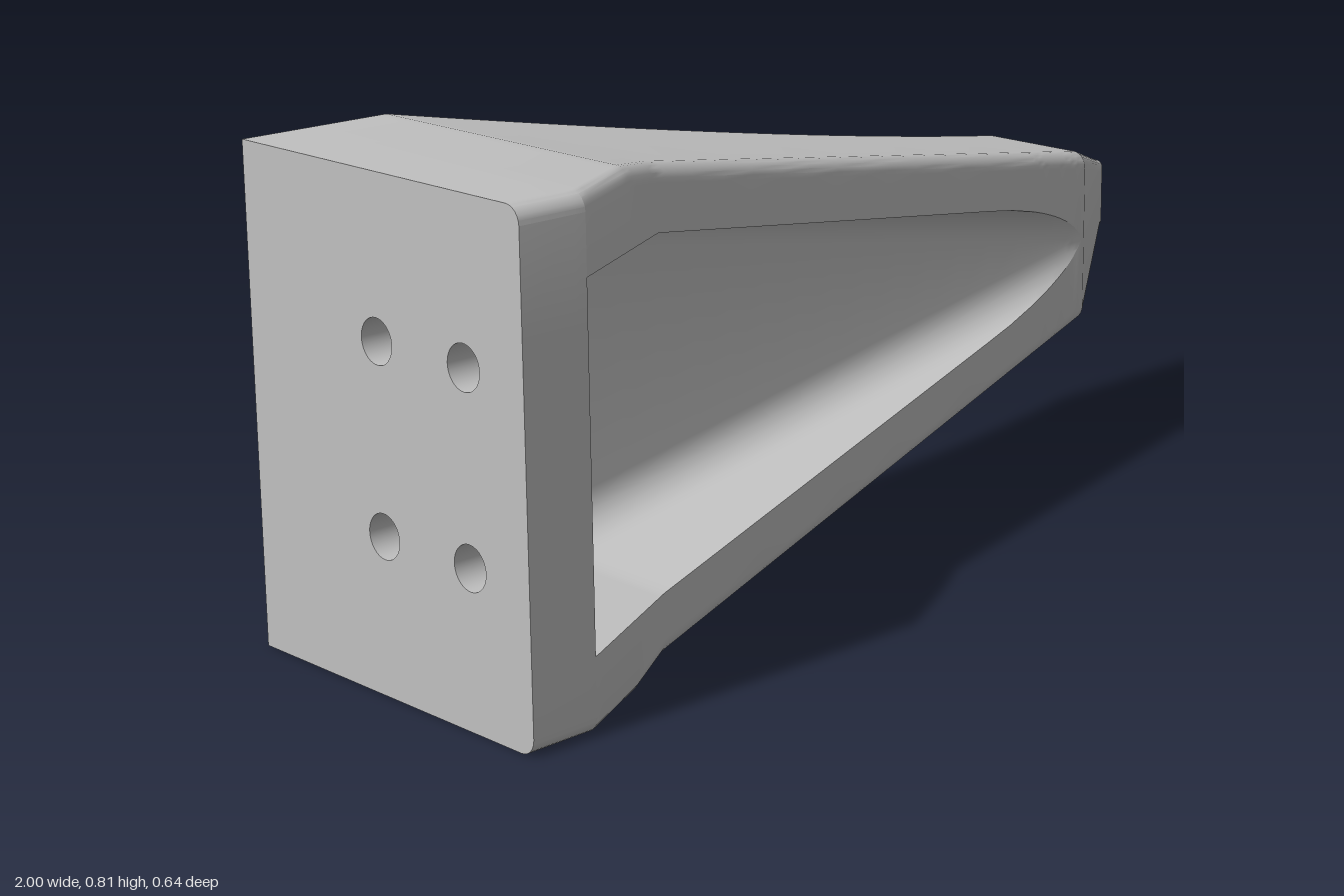
import * as THREE from 'three';
import { toCreasedNormals } from 'three/addons/utils/BufferGeometryUtils.js';

const MID = 0.405;        // height of the symmetry plane
const FLOOR = -0.087;     // z of the pocket floor
const FILLET = 0.065;     // pocket floor fillet
const WALL = -0.88;       // inner side of the mounting wall
const HOLES = [[0.19, 0.15], [0.19, -0.15], [-0.01, 0.15], [-0.01, -0.15]]; // z, y from middle

// Piecewise linear lookup through [x, value] pairs
function lerpTable(table, x) {
  for (let i = 1; i < table.length; i++) {
    const [x0, v0] = table[i - 1], [x1, v1] = table[i];
    if (x <= x1) return v0 + (v1 - v0) * (x - x0) / (x1 - x0);
  }
  return table[table.length - 1][1];
}

const halfHeight = x => lerpTable([[-1, 0.405], [-0.73, 0.405], [0.69, 0.16], [1, 0.065]], x);
const frontZ = x => lerpTable([[-1, 0.322], [-0.88, 0.322], [-0.63, 0.195], [0.69, -0.09], [1, -0.306]], x);
const pocketHalf = x => lerpTable([[-1, 0.283], [-0.63, 0.283], [0.69, 0.061], [1, 0.03]], x);
function backZ(x) {
  const t = (x + 0.02) / 0.71;
  return -0.323 + 0.093 * Math.max(0, 1 - t * t);
}

// Half of the pocket profile, from the rim down to the floor, as [y, z]
function pocketProfile(x, open) {
  const zf = frontZ(x), depth = open ? Math.max(0, zf - FLOOR) : 0;
  const pts = [];
  for (let k = 0; k <= 7; k++) {
    const arc = FILLET * (1 - Math.cos((7 - k) / 6 * Math.PI / 2));
    const h = k === 0 ? depth : Math.min(depth, arc);
    const s = Math.max(0, FILLET - h);
    const inset = FILLET - Math.sqrt(FILLET * FILLET - s * s);
    pts.push([Math.max(0.004, pocketHalf(x) - inset), zf - depth + h]);
  }
  return pts;
}

const mirror = pts => [...pts.map(([y, z]) => [-y, z]), ...pts.slice().reverse()];

// Full cross-section: back corner, rounded front corner, pocket, then mirrored
function section(x, open) {
  const h = halfHeight(x), zf = frontZ(x), zb = backZ(x);
  const r = Math.min(0.028, (zf - zb) * 0.7);
  const pts = [[h, zb]];
  for (let k = 0; k <= 6; k++) {
    const a = k / 6 * Math.PI / 2;
    pts.push([h - r + r * Math.cos(a), zf - r + r * Math.sin(a)]);
  }
  return mirror([...pts, ...pocketProfile(x, open)]);
}

// Skin between consecutive cross-sections
function loft(xs, open, out) {
  const rings = xs.map(x => section(x, open).map(([y, z]) => new THREE.Vector3(x, y + MID, z)));
  const tri = (a, b, c) => {
    const area = b.clone().sub(a).cross(c.clone().sub(a)).length();
    if (area > 1e-9) for (const p of [a, b, c]) out.push(p.x, p.y, p.z);
  };
  for (let i = 0; i + 1 < rings.length; i++) {
    const n = rings[i].length;
    for (let j = 0; j < n; j++) {
      const k = (j + 1) % n;
      const a = rings[i][j], b = rings[i][k], c = rings[i + 1][k], d = rings[i + 1][j];
      tri(a, c, b);
      tri(a, d, c);
    }
  }
}

// Flat face across the x axis, facing dir (+1 or -1), with optional round holes
function endFace(pts, x, dir, holeRadius) {
  const shape = new THREE.Shape(pts.map(([y, z]) => new THREE.Vector2(-dir * z, y)));
  if (holeRadius) {
    for (const [z, y] of HOLES) {
      shape.holes.push(new THREE.Path().absarc(-dir * z, y, holeRadius, 0, Math.PI * 2, true));
    }
  }
  return new THREE.ShapeGeometry(shape, 20).rotateY(dir * Math.PI / 2).translate(x, MID, 0);
}

export function createModel() {
  const group = new THREE.Group();
  const grey = new THREE.MeshStandardMaterial({ color: 0xc0c0c0 });
  grey.name = 'grey';
  const add = (geometry, name) => {
    const mesh = new THREE.Mesh(geometry, grey);
    mesh.name = name;
    group.add(mesh);
    return mesh;
  };

  // Tapered body: solid root, then the pocketed arm and solid tip
  const xs = [WALL, -0.86, -0.75, -0.73, -0.71, -0.65, -0.63, -0.61];
  for (let x = -0.54; x < 0.5; x += 0.08) xs.push(x);
  for (let x = 0.5; x < 0.685; x += 0.015) xs.push(x);
  xs.push(0.69, 0.71, 0.98, 1);
  const positions = [];
  loft([-1, -0.9, WALL], false, positions);
  loft(xs, true, positions);
  const body = new THREE.BufferGeometry();
  body.setAttribute('position', new THREE.Float32BufferAttribute(positions, 3));
  add(toCreasedNormals(body, 0.36), 'body');

  // End faces and the wall inside the pocket
  add(endFace(section(-1, false), -1, -1, 0.036), 'mountingFace');
  add(endFace(section(1, false), 1, 1), 'tipFace');
  add(endFace(mirror(pocketProfile(WALL, true)), WALL, 1, 0.066), 'pocketWall');

  // Countersunk screw holes through the mounting wall
  const sink = [[0.066, 0.12], [0.036, 0.08]], bore = [[0.036, 0.08], [0.036, 0]];
  for (const [z, y] of HOLES) {
    for (const [profile, name] of [[sink, 'countersink'], [bore, 'screwHole']]) {
      const geometry = new THREE.LatheGeometry(profile.map(p => new THREE.Vector2(...p)), 40);
      add(geometry.rotateZ(-Math.PI / 2), name).position.set(-1, y + MID, z);
    }
  }
  return group;
}
